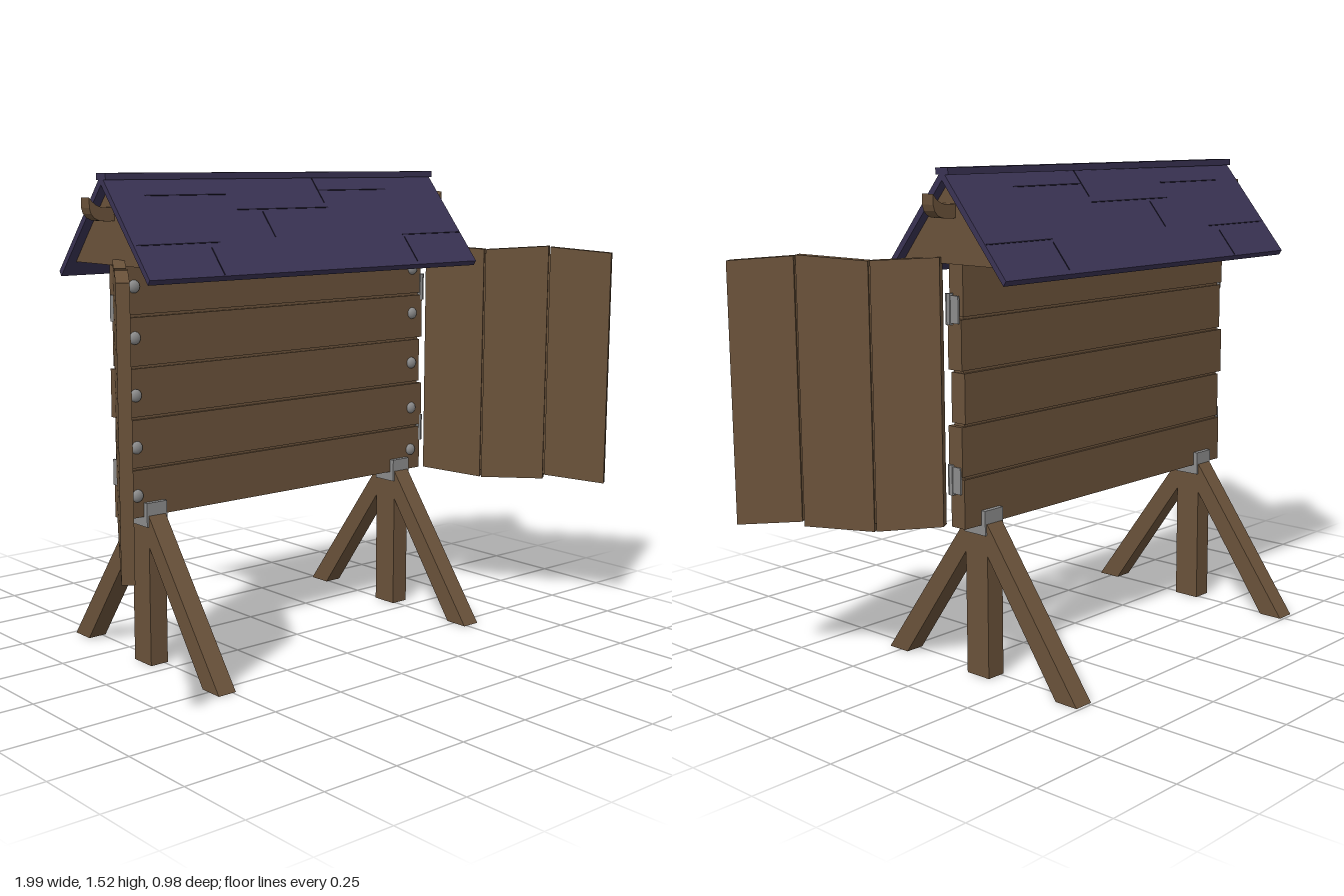
import * as THREE from 'three';

const mat = (color) => new THREE.MeshStandardMaterial({ color, flatShading: true });

export function createModel() {
  const model = new THREE.Group();
  const wood = mat(0x6a523a);
  const roofMat = mat(0x3a3354);
  const seamMat = mat(0x1c182a);
  const metal = mat(0x8c8c8c);
  const rivetMat = new THREE.MeshStandardMaterial({ color: 0x8c8c8c });
  const midZ = -0.095;

  const add = (name, geometry, material, parent = model) => {
    const mesh = new THREE.Mesh(geometry, material);
    mesh.name = name;
    parent.add(mesh);
    return mesh;
  };
  const box = (name, size, pos, material, parent) => {
    const mesh = add(name, new THREE.BoxGeometry(...size), material, parent);
    mesh.position.set(...pos);
    return mesh;
  };
  // Extrudes an outline, centred on its depth
  const slab = (points, depth) => {
    const shape = Array.isArray(points) ? new THREE.Shape(points.map((p) => new THREE.Vector2(...p))) : points;
    const geometry = new THREE.ExtrudeGeometry(shape, { depth, bevelEnabled: false, curveSegments: 4 });
    return geometry.translate(0, 0, -depth / 2);
  };
  // Same, for outlines given as [z, y] and extruded along x
  const sideSlab = (points, depth) => slab(points, depth).rotateY(-Math.PI / 2);

  // Centre panel of horizontal planks with slightly uneven ends
  [0, 0.005, -0.005, 0.003, -0.003].forEach((shift, i) => {
    box('panelPlank', [1.25, 0.148, 0.055], [shift, 0.55 + i * 0.156, midZ + shift * 0.4], wood);
  });
  box('panelCore', [1.23, 0.77, 0.04], [0, 0.86, midZ], wood);

  // Gable block under the roof
  add('gable', sideSlab([[0.1, 1.25], [-0.29, 1.25], [midZ, 1.49]], 1.28), wood);

  // Roof
  add('roof', sideSlab([
    [midZ, 1.515], [0.15, 1.22], [0.14, 1.205], [midZ, 1.485], [-0.33, 1.205], [-0.34, 1.22],
  ], 1.34), roofMat);
  box('ridgeCap', [1.34, 0.02, 0.05], [0, 1.51, midZ], roofMat);

  // Shingle seams: rows as [x, length, distance down the slope], and short cross joints
  const rows = [[-0.05, 0.37, 0.14], [-0.51, 0.3, 0.26], [0.53, 0.27, 0.26], [0.28, 0.3, 0.07], [-0.4, 0.3, 0.08]];
  const joints = [[-0.14, 0.2], [0.13, 0.07], [0.4, 0.32], [-0.4, 0.33]];
  for (const side of [1, -1]) {
    const slope = new THREE.Group();
    slope.name = side > 0 ? 'frontSeams' : 'backSeams';
    slope.position.set(0, 1.515, midZ);
    slope.rotation.x = side * Math.atan2(0.295, 0.245);
    model.add(slope);
    rows.forEach(([x, len, d]) => box('rowSeam', [len, 0.003, 0.004], [x, 0, side * d], seamMat, slope));
    joints.forEach(([x, d]) => box('jointSeam', [0.004, 0.003, 0.1], [x, 0, side * d], seamMat, slope));
  }

  // Upturned hook at the gable ends
  const hook = new THREE.Shape();
  hook.moveTo(0.6, 1.38);
  hook.lineTo(0.67, 1.38);
  hook.quadraticCurveTo(0.72, 1.38, 0.725, 1.42);
  hook.lineTo(0.725, 1.45);
  hook.quadraticCurveTo(0.705, 1.42, 0.67, 1.42);
  hook.lineTo(0.6, 1.42);

  // Wing planks: [start, end, bottom start, bottom end, top start, top end]
  const wingPlanks = [
    [0, 0.204, 0.48, 0.457, 1.268, 1.256],
    [0.21, 0.425, 0.456, 0.464, 1.255, 1.27],
    [0.431, 0.635, 0.478, 0.46, 1.267, 1.25],
  ];

  for (const side of [1, -1]) {
    const label = side > 0 ? 'left' : 'right';

    const hookMesh = add(label + 'Hook', slab(hook, 0.045), wood);
    hookMesh.position.z = midZ;
    if (side < 0) {
      hookMesh.rotation.y = Math.PI;
    }

    // Angled side wing
    const wing = new THREE.Group();
    wing.name = label + 'Wing';
    wing.position.set(side * 0.64, 0, -0.055);
    wing.rotation.y = side > 0 ? -1.007 : 1.007 - Math.PI;
    model.add(wing);
    for (const [a, b, y0, y1, y2, y3] of wingPlanks) {
      add('wingPlank', slab([[a, y0], [b, y1], [b, y3], [a, y2]], 0.036), wood, wing);
    }
    box('wingBacking', [0.61, 0.76, 0.02], [0.315, 0.86, 0], wood, wing);

    // Hinges between panel and wing
    for (const y of [0.62, 1.12]) {
      const pin = add('hingePin', new THREE.CylinderGeometry(0.012, 0.012, 0.09, 8), metal);
      pin.position.set(side * 0.628, y, -0.075);
      box('hingePlate', [0.006, 0.08, 0.04], [side * 0.631, y, -0.095], metal);
    }

    // Rivets
    for (const y of [0.545, 0.695, 0.855, 1.03, 1.185]) {
      const rivet = add('rivet', new THREE.SphereGeometry(0.02, 12, 8), rivetMat);
      rivet.position.set(side * 0.58, y, -0.066);
      rivet.scale.z = 0.6;
    }

    // Trestle: upright post with two splayed braces
    const trestle = new THREE.Group();
    trestle.name = label + 'Trestle';
    trestle.position.x = side * 0.52;
    model.add(trestle);
    box('post', [0.063, 0.46, 0.09], [0, 0.23, midZ], wood, trestle);
    add('frontBrace', sideSlab([[0.3, 0], [-0.05, 0.48], [-0.07, 0.47], [-0.07, 0.41], [0.22, 0]], 0.063), wood, trestle);
    add('backBrace', sideSlab([[-0.49, 0], [-0.41, 0], [-0.12, 0.41], [-0.12, 0.47], [-0.14, 0.48]], 0.063), wood, trestle);

    // Metal cradle holding the panel
    box('cradleBase', [0.075, 0.03, 0.085], [0, 0.46, midZ], metal, trestle);
    for (const z of [-0.058, -0.13]) {
      box('cradleTab', [0.075, 0.075, 0.016], [0, 0.483, z], metal, trestle);
    }
  }
  return model;
}
